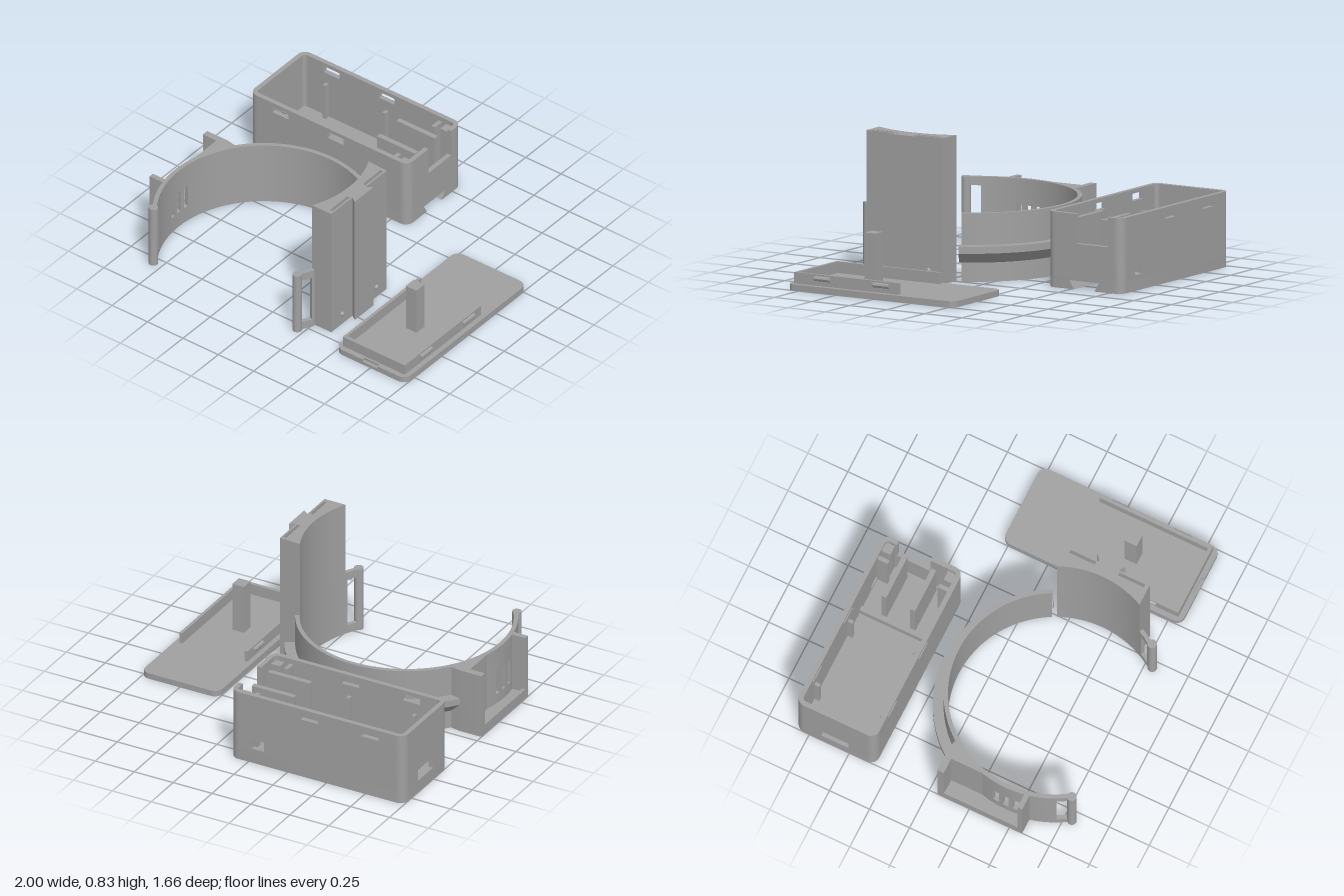
import * as THREE from 'three';
import { toCreasedNormals } from 'three/addons/utils/BufferGeometryUtils.js';

const grey = new THREE.MeshStandardMaterial({ color: 0xa0a0a0, side: THREE.DoubleSide });
grey.name = 'plain grey plastic';
const rad = Math.PI / 180;
const CX = -0.3, CZ = 0.44, R0 = 0.6, R1 = 0.625, BAND_H = 0.39;

function add(parent, name, geometry) {
  const mesh = new THREE.Mesh(toCreasedNormals(geometry, 0.5), grey);
  mesh.name = name;
  parent.add(mesh);
  return mesh;
}
function group(parent, name) {
  const g = new THREE.Group();
  g.name = name;
  parent.add(g);
  return g;
}
// Box given by its limits
function box(parent, name, x0, x1, y0, y1, z0, z1) {
  const g = new THREE.BoxGeometry(x1 - x0, y1 - y0, z1 - z0);
  g.translate((x0 + x1) / 2, (y0 + y1) / 2, (z0 + z1) / 2);
  return add(parent, name, g);
}
const toPath = (pts) => pts.map(([x, z]) => new THREE.Vector2(x, -z));
// Plan outline of [x, z] points raised from y0 to y1
function plan(parent, name, pts, y0, y1, holes = []) {
  const s = new THREE.Shape(toPath(pts));
  holes.forEach((h) => s.holes.push(new THREE.Path(toPath(h))));
  const g = new THREE.ExtrudeGeometry(s, { depth: y1 - y0, bevelEnabled: false });
  g.rotateX(-Math.PI / 2).translate(0, y0, 0);
  return add(parent, name, g);
}
const rect = (x0, x1, z0, z1) => [[x0, z0], [x1, z0], [x1, z1], [x0, z1]];
function arc(cx, cz, r, a0, a1, n) {
  return Array.from({ length: n + 1 }, (_, i) => {
    const a = (a0 + (a1 - a0) * i / n) * rad;
    return [cx + r * Math.cos(a), cz + r * Math.sin(a)];
  });
}
function sector(cx, cz, r0, r1, a0, a1) {
  const n = Math.max(2, Math.ceil(Math.abs(a1 - a0) / 3));
  return [...arc(cx, cz, r1, a0, a1, n), ...arc(cx, cz, r0, a1, a0, n)];
}
function roundRect(x0, x1, z0, z1, r) {
  return [...arc(x1 - r, z1 - r, r, 0, 90, 6), ...arc(x0 + r, z1 - r, r, 90, 180, 6),
    ...arc(x0 + r, z0 + r, r, 180, 270, 6), ...arc(x1 - r, z0 + r, r, 270, 360, 6)];
}
// Upright panel: shape in (u, y) with rectangular holes
function panel(outline, holes, depth) {
  const s = new THREE.Shape(outline.map(([u, y]) => new THREE.Vector2(u, y)));
  holes.forEach(([u0, u1, y0, y1]) => s.holes.push(new THREE.Path(
    rect(u0, u1, y0, y1).map(([u, y]) => new THREE.Vector2(u, y)))));
  return new THREE.ExtrudeGeometry(s, { depth, bevelEnabled: false });
}

function buildCase(root) {
  const g = group(root, 'caseBox');
  const X0 = -1, X1 = 0.117, Z0 = -0.835, Z1 = -0.337, H = 0.43, F = 0.07, r = 0.05, t = 0.028;
  // Floor with a dovetail groove underneath
  plan(g, 'floor', roundRect(X0, X1, Z0, Z1, r), 0.05, F);
  const outline = roundRect(X0, X1, Z0, Z1, r);
  plan(g, 'grooveLayer', [...outline, [X1, -0.683], [-0.83, -0.683], [-0.83, -0.487], [X1, -0.487]], 0, 0.05);
  for (const [zOut, zIn] of [[-0.683, -0.652], [-0.487, -0.516]]) {
    const w = panel([[zOut, 0], [zIn, 0], [zOut, 0.05]], [], X1 + 0.83);
    w.rotateY(-Math.PI / 2).translate(X1, 0, 0);
    add(g, 'grooveEdge', w);
  }
  // Long walls with latch slots
  const slots = [[-0.837, -0.725, 0.365, 0.407], [-0.447, -0.335, 0.365, 0.407]];
  const longWall = rect(X0 + r, X1 - r, F, H);
  add(g, 'frontWall', panel(longWall, slots, t).translate(0, 0, Z1 - t));
  add(g, 'backWall', panel(longWall, [...slots, [-0.1, -0.02, 0.09, 0.15]], t).translate(0, 0, Z0));
  // End walls: u is -z after turning
  const a = -(Z1 - r), b = -(Z0 + r);
  const left = panel(rect(a, b, F, H), [[0.505, 0.675, 0.075, 0.145]], t);
  add(g, 'leftEndWall', left.rotateY(Math.PI / 2).translate(X0, 0, 0));
  const notched = [[a, F], [b, F], [b, H], [0.74, H], [0.74, 0.26], [0.53, 0.26], [0.53, H], [a, H]];
  const right = panel(notched, [], t);
  add(g, 'notchedEndWall', right.rotateY(Math.PI / 2).translate(X1 - t, 0, 0));
  // Rounded corners
  [[X1 - r, Z1 - r, 0], [X0 + r, Z1 - r, 90], [X0 + r, Z0 + r, 180], [X1 - r, Z0 + r, 270]].forEach(
    ([x, z, s]) => plan(g, 'caseCorner', arc(x, z, r, s, s + 90, 8).concat(arc(x, z, r - t, s + 90, s, 8)), F, H));
  // Inner fittings
  box(g, 'divider', -0.25, -0.22, F, 0.12, Z0 + t, Z1 - t);
  box(g, 'boardRib', -0.21, 0.06, F, 0.4, -0.69, -0.66);
  box(g, 'boardRib', -0.21, 0.06, F, 0.4, -0.51, -0.48);
  for (const s of [-1, 1]) {
    const wall = s < 0 ? Z0 + t : Z1 - t;
    const span = (d) => [Math.min(wall, wall - s * d), Math.max(wall, wall - s * d)];
    box(g, 'guidePost', -0.025, 0, F, 0.4, ...span(0.065));
    box(g, 'cornerBlock', 0.03, X1 - t, F, 0.4, ...span(0.055));
    for (const x of [-0.82, -0.4]) box(g, 'wallRib', x, x + 0.02, F, 0.3, ...span(0.03));
  }
}

function buildBand(root) {
  const g = group(root, 'armBand');
  // Curved strip between two angles, over one height range
  const strip = (a0, a1, y0 = 0, y1 = BAND_H) => plan(g, 'strap', sector(CX, CZ, R0, R1, a0, a1), y0, y1);
  const slotted = (a0, a1, y0, y1) => { strip(a0, a1, 0, y0); strip(a0, a1, y1, BAND_H); };
  // Left tail and long rear sweep
  strip(145, 147); slotted(147, 153, 0.05, 0.34); strip(153, 172.6);
  for (let i = 0; i < 3; i++) {
    const c = 174.3 + i * 5.7;
    slotted(c - 1.7, c + 1.7, 0.1, 0.24);
    if (i < 2) strip(c + 1.7, c + 4);
  }
  strip(187.4, 332);
  // Right tail
  strip(25.5, 27); slotted(27, 33, 0.05, 0.34); strip(33, 35);
  for (const a of [35, 145]) {
    const bead = new THREE.CylinderGeometry(0.027, 0.027, BAND_H, 20);
    bead.translate(CX + 0.62 * Math.cos(a * rad), BAND_H / 2, CZ + 0.62 * Math.sin(a * rad));
    add(g, 'endBead', bead);
  }
  // Outer rib with sloped underside
  const prof = [[0.615, 0.11], [0.628, 0.11], [0.685, 0.17], [0.685, 0.21], [0.615, 0.21]]
    .map(([x, y]) => new THREE.Vector2(x, y));
  const rib = new THREE.LatheGeometry(prof, 48, 117 * rad, 119 * rad);
  add(g, 'outerRib', rib.translate(CX, 0, CZ));
  for (const th of [-27, -146]) {
    const cap = new THREE.ShapeGeometry(new THREE.Shape(prof));
    add(g, 'ribEnd', cap.rotateY(-th * rad).translate(CX, 0, CZ));
  }
  // Open pocket on the left side
  plan(g, 'pocketFloor', [[-1, 0.05], [-0.86, 0.05], [-0.8, 0.06], [-0.82, 0.1], [-0.865, 0.2],
    [-0.905, 0.38], [-0.905, 0.5], [-0.89, 0.58], [-1, 0.58]], 0, 0.04);
  box(g, 'pocketLip', -1, -0.98, 0.04, 0.06, 0.05, 0.58);
  plan(g, 'pocketRearWall', [[-1, 0.05], [-0.86, 0.05], [-0.8, 0.06], [-0.82, 0.1], [-0.865, 0.2],
    [-0.905, 0.35], [-0.905, 0.09], [-1, 0.09]], 0, BAND_H);
  plan(g, 'pocketFrontWall', [[-1, 0.55], [-0.905, 0.55], [-0.89, 0.58], [-1, 0.58]], 0, BAND_H);
}

function buildBracket(root) {
  const g = group(root, 'tallBracket');
  // Concave block with a dovetail rail and two hollow slots
  const body = [...arc(CX, CZ, R0, -25.2, 25.7, 24), [0.375, 0.7], [0.375, 0.505], [0.41, 0.53],
    [0.41, 0.355], [0.375, 0.38], [0.375, 0.19]];
  plan(g, 'bracketBody', body, 0, 0.83, [rect(0.345, 0.364, 0.21, 0.37), rect(0.345, 0.364, 0.515, 0.675)]);
  for (const z of [0.285, 0.6]) {
    const nub = new THREE.SphereGeometry(0.016, 12, 8);
    add(g, 'nub', nub.translate(0.372, 0.07, z));
  }
}

function buildLid(root) {
  const g = group(root, 'lid');
  const X0 = 0.502, X1 = 1, Z0 = -0.287, Z1 = 0.83;
  plan(g, 'lidPlate', roundRect(X0, X1, Z0, Z1, 0.05), 0, 0.02);
  // Upper layer with a small pry notch in the front edge
  const r = 0.05, pts = [...arc(X1 - r, Z1 - r, r, 0, 90, 6), [0.8, Z1], [0.8, 0.81], [0.695, 0.81], [0.695, Z1],
    ...arc(X0 + r, Z1 - r, r, 90, 180, 6), ...arc(X0 + r, Z0 + r, r, 180, 270, 6),
    ...arc(X1 - r, Z0 + r, r, 270, 360, 6)];
  plan(g, 'lidTop', pts, 0.02, 0.035);
  // U-shaped lip
  plan(g, 'lidLip', [[0.532, 0.1], [0.55, 0.1], [0.55, 0.778], [0.952, 0.778], [0.952, 0.1],
    [0.97, 0.1], [0.97, 0.798], [0.532, 0.798]], 0.035, 0.1);
  // Snap latches
  for (const x of [0.532, 0.97]) for (const z of [0.165, 0.555]) {
    const latch = new THREE.CylinderGeometry(0.014, 0.014, 0.105, 8);
    add(g, 'snapLatch', latch.rotateX(Math.PI / 2).translate(x, 0.076, z + 0.0525));
  }
  box(g, 'post', 0.71, 0.785, 0.035, 0.33, 0.375, 0.45);
}

export function createModel() {
  const root = new THREE.Group();
  root.name = 'armBandCaseKit';
  buildCase(root);
  buildBand(root);
  buildBracket(root);
  buildLid(root);
  return root;
}
